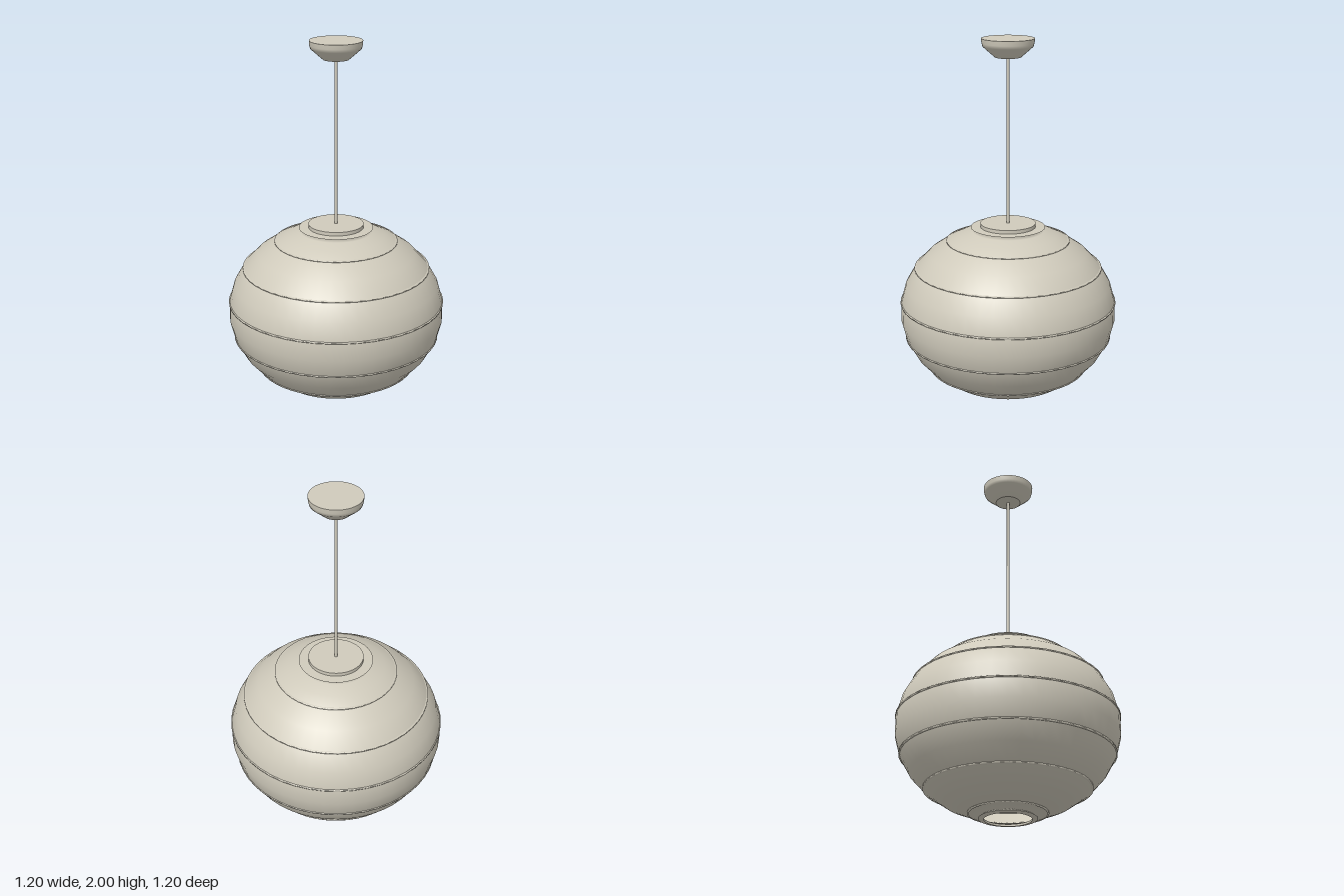
import * as THREE from 'three';

const SIDES = 48;
const CENTRE = 0.49, RX = 0.6, RY = 0.485;

export function createModel() {
  const model = new THREE.Group();
  const ivory = new THREE.MeshStandardMaterial({ color: 0xcfcabb, side: THREE.DoubleSide });
  ivory.name = 'warm ivory';

  function add(name, geometry, y = 0) {
    const mesh = new THREE.Mesh(geometry, ivory);
    mesh.name = name;
    mesh.position.y = y;
    model.add(mesh);
    return mesh;
  }
  const lathe = (points, sides = SIDES) =>
    new THREE.LatheGeometry(points.map(([r, y]) => new THREE.Vector2(r, y)), sides);

  // Shade: flattened globe in stacked bands, open at the bottom
  const angleAt = (y) => Math.asin((y - CENTRE) / RY);
  const ribHeights = [0.035, 0.16, 0.34, 0.545, 0.74, 0.892];
  const edges = [0.008, ...ribHeights, 0.948, 0.968];
  const profile = [];
  for (let i = 0; i < edges.length - 1; i++) {
    const a = angleAt(edges[i]), b = angleAt(edges[i + 1]);
    for (const t of [0, 0.5]) {
      const angle = a + (b - a) * t;
      profile.push([RX * Math.cos(angle), CENTRE + RY * Math.sin(angle)]);
    }
  }
  profile[0] = [0.155, 0.006];
  profile.push([0.205, 0.968]);
  add('shade', lathe(profile));

  // Thin ribs at the seams between the bands
  ribHeights.forEach((y, i) => {
    const r = RX * Math.cos(angleAt(y));
    add('rib' + (i + 1), lathe([[r - 0.006, y - 0.005], [r + 0.004, y - 0.004],
      [r + 0.004, y + 0.004], [r - 0.006, y + 0.005]]));
  });

  // Flat collar and raised cap on top of the shade
  add('topCollar', lathe([[0.205, 0.968], [0.14, 0.97]]));
  add('topCap', new THREE.CylinderGeometry(0.152, 0.152, 0.02, SIDES), 0.98);

  // Flat rim around the bottom opening
  add('bottomRim', lathe([[0.125, 0.012], [0.125, 0], [0.125, 0], [0.155, 0.006]]));

  // Cord
  add('cord', new THREE.CylinderGeometry(0.008, 0.008, 0.93, 16), 1.445);

  // Ceiling canopy with flat ends
  add('canopyWall', lathe([[0.07, 1.9], [0.135, 1.957], [0.14, 1.975], [0.142, 2]]));
  add('canopyTop', new THREE.CircleGeometry(0.142, SIDES), 2).rotation.x = -Math.PI / 2;
  add('canopyBottom', new THREE.CircleGeometry(0.07, SIDES), 1.9).rotation.x = Math.PI / 2;

  return model;
}
